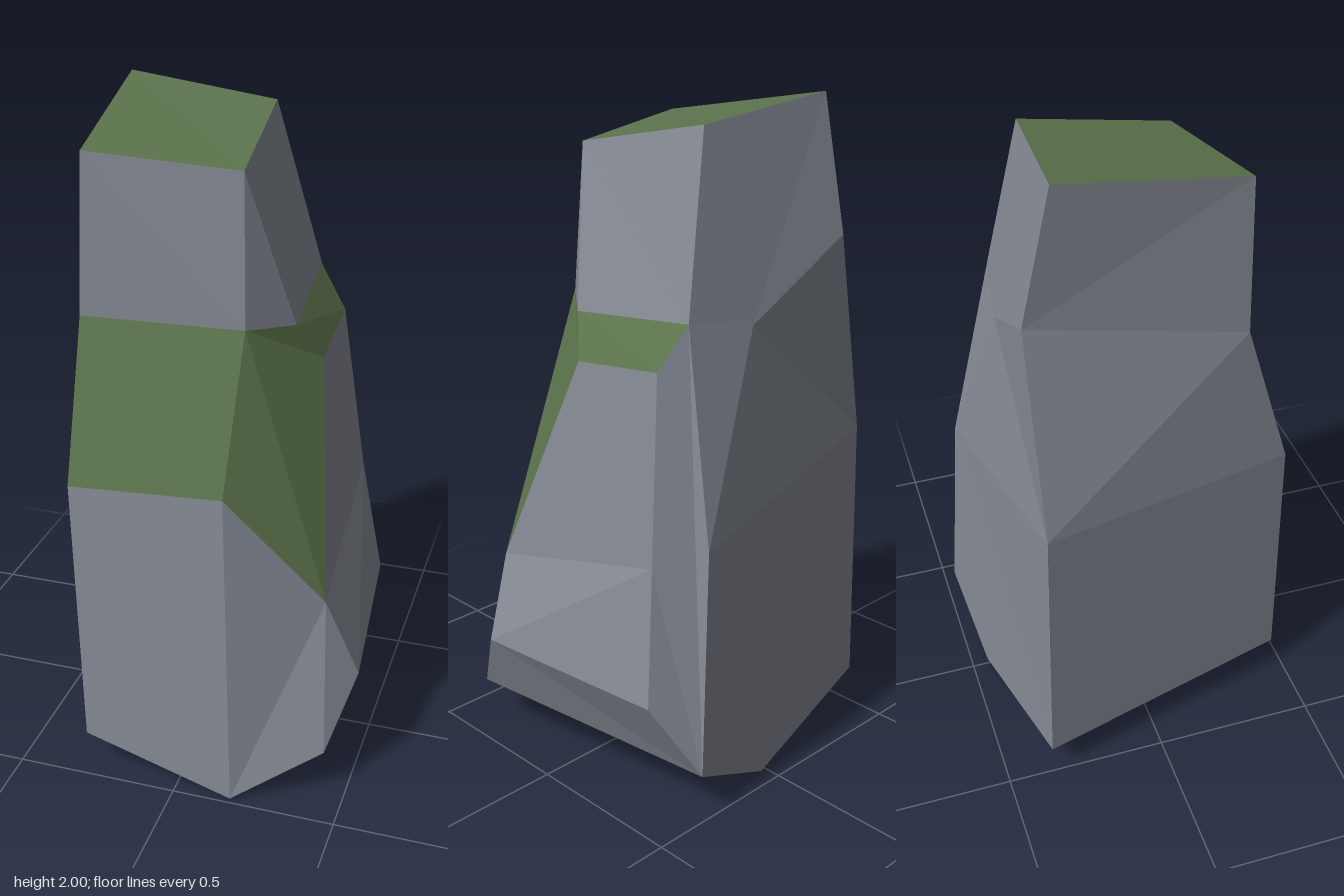
import * as THREE from 'three';

// Corner points of the boulder, listed ring by ring from the top down
const P = {
  topBL: [-0.37, 2.0, -0.28], topBR: [0.09, 1.95, -0.245], topFR: [0.125, 1.86, 0.205], topFL: [-0.31, 1.9, 0.28],
  neckFL: [-0.33, 1.43, 0.285], neckFR: [0.14, 1.42, 0.235], neckBL: [-0.37, 1.6, -0.365], neckB: [0, 1.4, -0.355],
  ledgeInF: [0.25, 1.4, 0.1], ledgeInB: [0.22, 1.44, -0.32], ledgeOutF: [0.315, 1.28, 0.025], ledgeOutB: [0.305, 1.315, -0.285],
  midFL: [-0.33, 0.96, 0.427], midFR: [0.13, 0.98, 0.415], midBL: [-0.5, 0.97, -0.35], midBR: [0.265, 0.82, -0.448],
  hipF: [0.405, 0.62, 0.282], hipB: [0.375, 0.77, -0.335],
  wideF: [0.505, 0.37, 0.247], wideB: [0.44, 0.37, -0.385], lowF: [0.435, 0.15, 0.372], lowB: [0.32, 0.14, -0.485],
  baseFL: [-0.295, 0.12, 0.457], baseFR: [0.175, 0, 0.482], baseBL: [-0.51, 0.115, -0.362], baseB: [0.02, 0, -0.447],
};

// Flat facets from corner names; each polygon is a fan wound to face away from the core
function facets(name, material, polygons) {
  const core = new THREE.Vector3(0, 0.9, 0);
  const positions = [];
  for (const polygon of polygons) {
    const pts = polygon.split(' ').map((key) => new THREE.Vector3(...P[key]));
    for (let i = 1; i < pts.length - 1; i++) {
      let [a, b, c] = [pts[0], pts[i], pts[i + 1]];
      const normal = b.clone().sub(a).cross(c.clone().sub(a));
      const middle = a.clone().add(b).add(c).divideScalar(3).sub(core);
      if (normal.dot(middle) < 0) [b, c] = [c, b];
      for (const p of [a, b, c]) positions.push(p.x, p.y, p.z);
    }
  }
  const geometry = new THREE.BufferGeometry();
  geometry.setAttribute('position', new THREE.Float32BufferAttribute(positions, 3));
  geometry.computeVertexNormals();
  const mesh = new THREE.Mesh(geometry, material);
  mesh.name = name;
  return mesh;
}

export function createModel() {
  const stone = new THREE.MeshStandardMaterial({ color: 0x858a94 });
  stone.name = 'grey stone';
  const moss = new THREE.MeshStandardMaterial({ color: 0x5c734c });
  moss.name = 'green moss';

  const model = new THREE.Group();
  model.name = 'mossyRock';
  model.add(
    // Mossy cap and the band wrapping front and side
    facets('mossTop', moss, ['topBL topFL topFR topBR']),
    facets('mossFront', moss, ['neckFL neckFR midFR midFL']),
    facets('mossCorner', moss, ['neckFR ledgeInF ledgeOutF', 'neckFR ledgeOutF hipF midFR']),
    facets('mossLedge', moss, ['ledgeInF ledgeInB ledgeOutB ledgeOutF']),
    // Upper block
    facets('upperFront', stone, ['topFL topFR neckFR neckFL']),
    facets('upperSide', stone, ['topFR neckFR ledgeInF', 'topFR ledgeInF ledgeInB topBR']),
    facets('upperBack', stone, ['neckB neckBL topBL topBR ledgeInB']),
    // Right-hand flank of the picture plane, +x
    facets('lowerSide', stone, [
      'ledgeOutF ledgeOutB hipB hipF', 'hipF hipB wideF', 'hipB wideB wideF', 'wideF wideB lowB lowF',
    ]),
    facets('frontCorner', stone, ['midFR hipF baseFR', 'hipF wideF lowF', 'hipF lowF baseFR']),
    // Front and -x flank
    facets('lowerFront', stone, ['midFL midFR baseFR baseFL']),
    facets('farSide', stone, [
      'topBL topFL neckBL', 'topFL neckFL neckBL', 'neckFL midFL midBL', 'neckFL midBL neckBL', 'midBL midFL baseFL baseBL',
    ]),
    // Back
    facets('backCorner', stone, ['lowB wideB hipB ledgeOutB ledgeInB', 'ledgeInB midBR lowB']),
    facets('lowerBack', stone, [
      'ledgeInB neckB midBR', 'neckB midBL midBR', 'neckB neckBL midBL', 'midBR midBL baseBL baseB', 'midBR baseB lowB',
    ]),
    // Underside
    facets('underside', stone, ['baseFL baseFR baseB baseBL', 'lowF lowB baseB baseFR']),
  );
  return model;
}
